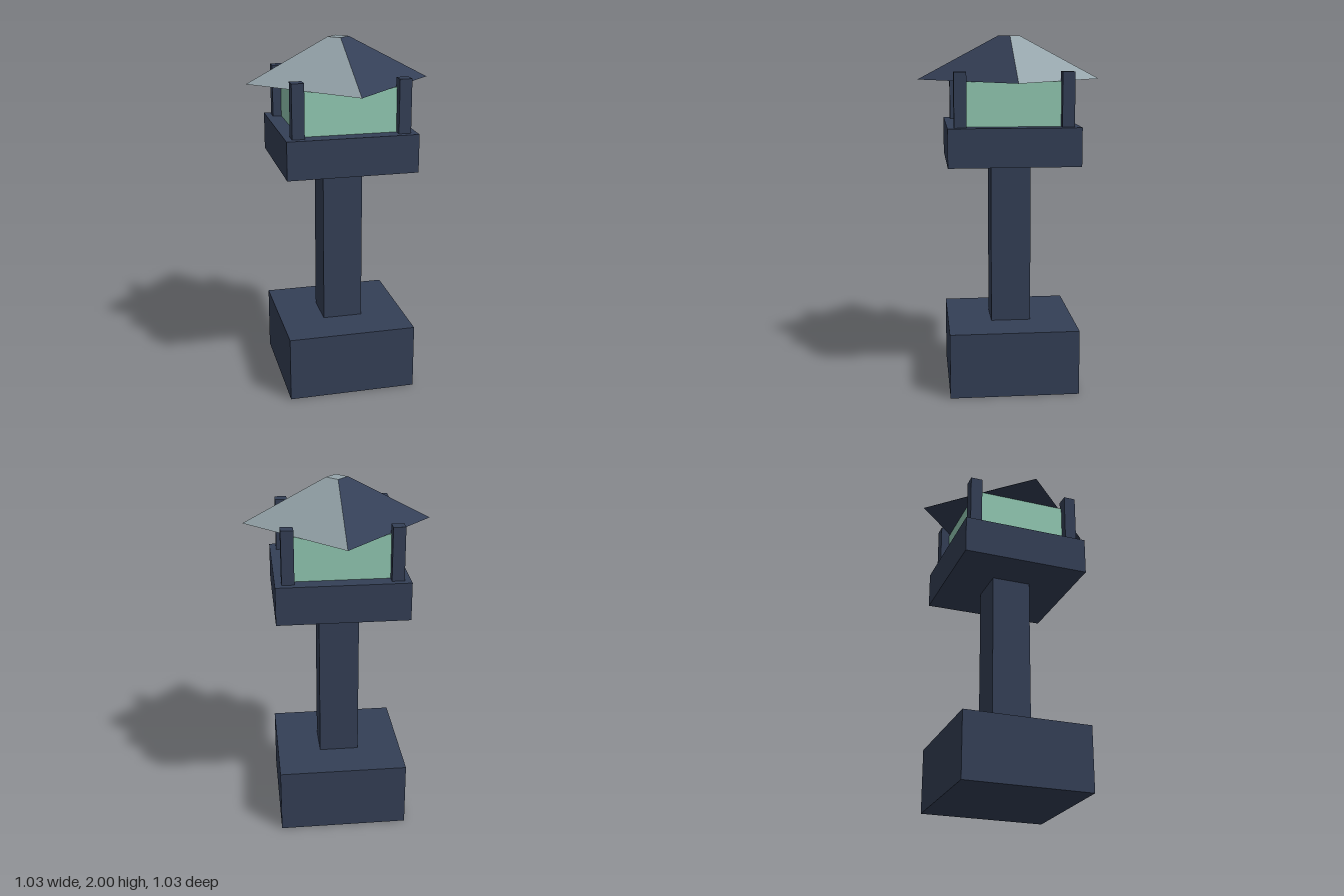
import * as THREE from 'three';

export function createModel() {
  const model = new THREE.Group();
  model.name = 'lanternTower';

  const material = (name, color) => {
    const m = new THREE.MeshStandardMaterial({ color });
    m.name = name;
    return m;
  };
  const navy = material('navy', 0x343f56);
  const grey = material('grey', 0x95a4aa);
  const mint = material('mint', 0x92cab3);

  // Square block from y0 to y1
  const block = (name, width, y0, y1, mat, x = 0, z = 0) => {
    const mesh = new THREE.Mesh(new THREE.BoxGeometry(width, y1 - y0, width), mat);
    mesh.name = name;
    mesh.position.set(x, (y0 + y1) / 2, z);
    model.add(mesh);
  };

  block('base', 0.727, 0, 0.37, navy);
  block('column', 0.226, 0.37, 1.3, navy);
  block('platform', 0.727, 1.3, 1.513, navy);
  block('lamp', 0.556, 1.513, 1.757, mint);

  // Corner posts
  for (const x of [-1, 1]) {
    for (const z of [-1, 1]) {
      block('cornerPost', 0.068, 1.513, 1.81, navy, x * 0.293, z * 0.293);
    }
  }

  // Truncated pyramid roof with alternating panels, corners on the axes
  const roofGeometry = new THREE.CylinderGeometry(0.06, 0.517, 0.243, 4).toNonIndexed();
  roofGeometry.computeVertexNormals();
  roofGeometry.clearGroups();
  for (let i = 0; i < 4; i++) roofGeometry.addGroup(i * 6, 6, i % 2);
  roofGeometry.addGroup(24, 12, 1); // flat tip
  roofGeometry.addGroup(36, 12, 0); // underside
  const roof = new THREE.Mesh(roofGeometry, [navy, grey]);
  roof.name = 'roof';
  roof.position.y = 1.8785;
  model.add(roof);

  return model;
}
